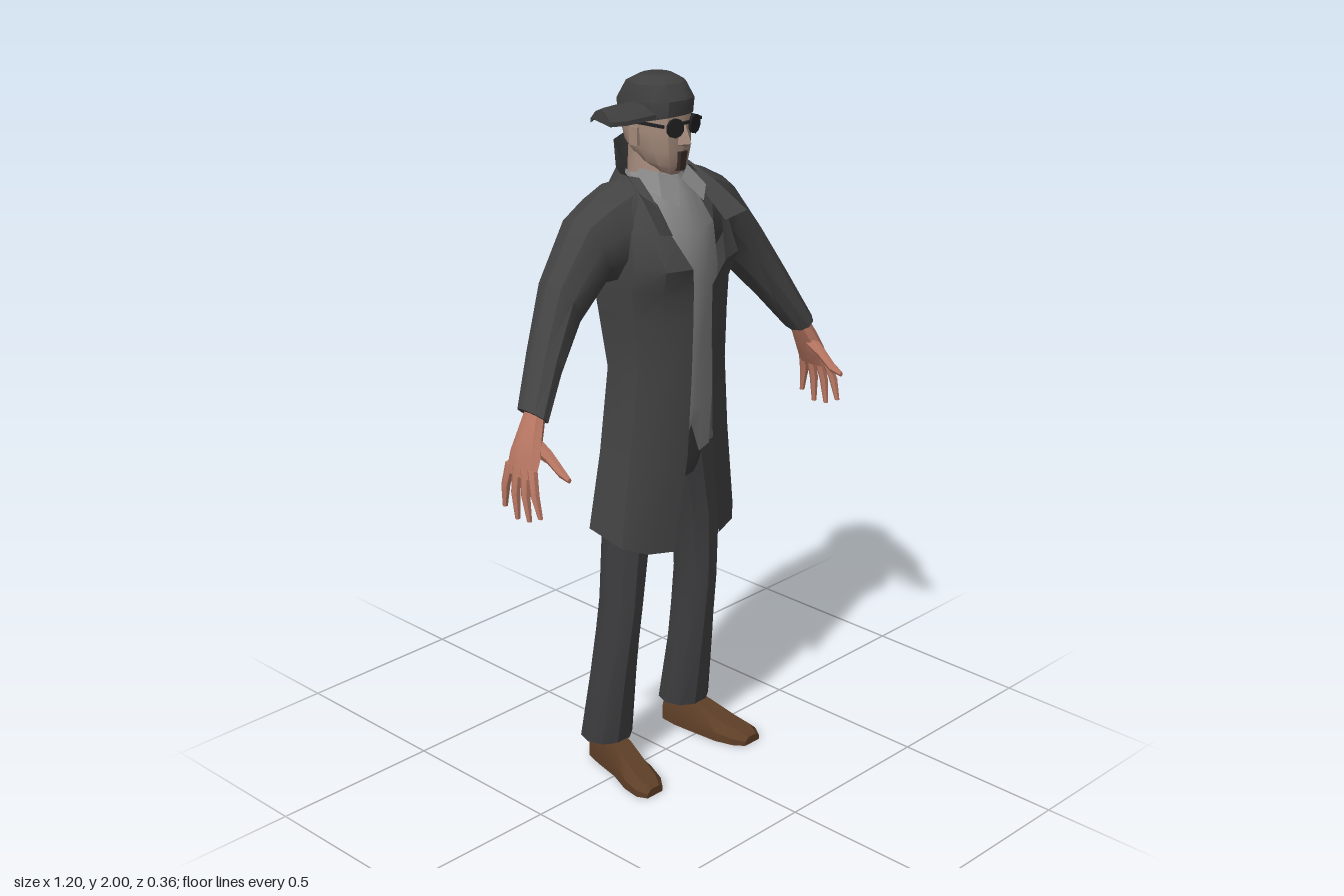
import * as THREE from 'three';
import { toCreasedNormals } from 'three/addons/utils/BufferGeometryUtils.js';
import { ConvexGeometry } from 'three/addons/geometries/ConvexGeometry.js';

const mat = (name, color) => new THREE.MeshStandardMaterial({ name, color, side: THREE.DoubleSide });
const V = (p) => new THREE.Vector3(...p);
const flip = (rings) => rings.map((r) => r.map(([x, y, z]) => [-x, y, z]).reverse());
const lerp = (a, b, t) => a + (b - a) * t;

// Skin a series of cross-sections; closed rings may be capped at both ends
function loft(rings, closed = true, caps = closed, crease = 0.6) {
  const pos = [];
  const tri = (...pts) => pts.forEach((p) => pos.push(...p));
  const n = rings[0].length;
  for (let j = 0; j < rings.length - 1; j++) {
    for (let i = 0; i < (closed ? n : n - 1); i++) {
      const k = (i + 1) % n, a = rings[j], b = rings[j + 1];
      tri(a[i], a[k], b[k]);
      tri(a[i], b[k], b[i]);
    }
  }
  if (caps) {
    const s = rings[0], e = rings[rings.length - 1];
    for (let i = 1; i < n - 1; i++) {
      tri(s[0], s[i + 1], s[i]);
      tri(e[0], e[i], e[i + 1]);
    }
  }
  const g = new THREE.BufferGeometry();
  g.setAttribute('position', new THREE.Float32BufferAttribute(pos, 3));
  return toCreasedNormals(g, crease);
}

// Elliptical rings; each station is [x, y, z, ux, uy, r] with r along axis w
function limb(stations, n = 8, w = [0, 0, 1]) {
  return stations.map(([x, y, z, ux, uy, r]) => Array.from({ length: n }, (_, i) => {
    const a = (i / n) * Math.PI * 2, c = Math.cos(a), s = Math.sin(a) * r;
    return [x + ux * c + w[0] * s, y + uy * c + w[1] * s, z + w[2] * s];
  }));
}

// Level rings; each row is [yFront, yBack, halfWidth, zFront, zBack]
function stack(rows, n = 12) {
  return rows.map(([yf, yb, hw, zf, zb]) => Array.from({ length: n }, (_, i) => {
    const a = (i / n) * Math.PI * 2, s = Math.sin(a), c = Math.cos(a);
    return [
      hw * Math.sign(s) * Math.pow(Math.abs(s), 0.8),
      lerp(yb, yf, (c + 1) / 2),
      lerp(zb, zf, (c + 1) / 2),
    ];
  }));
}

// Complete a half section (front to back, or centre outward) with its mirror image
const mirrorHalf = (half, sharedEnd) => sharedEnd
  ? [...half, ...half.slice(0, -1).reverse().map(([x, y, z]) => [-x, y, z])]
  : [...half.slice(1).reverse().map(([x, y, z]) => [-x, y, z]), ...half];

export function createModel() {
  const model = new THREE.Group();
  model.name = 'man';
  const M = {
    coat: mat('coat charcoal', 0x434343),
    cap: mat('cap charcoal', 0x3f3f3f),
    trousers: mat('trouser grey', 0x3d3d3f),
    shirt: mat('shirt grey', 0x868686),
    face: mat('face skin', 0xa48a7b),
    hand: mat('hand skin', 0xb87763),
    shoe: mat('shoe brown', 0x5e3f27),
    glasses: mat('glasses black', 0x202022),
    beard: mat('beard brown', 0x3a2d26),
  };
  const add = (name, geo, m, parent = model) => {
    const mesh = new THREE.Mesh(geo, m);
    mesh.name = name;
    parent.add(mesh);
    return mesh;
  };
  const pair = (name, rings, m, closed = true) => {
    add('left' + name, loft(rings, closed), m);
    add('right' + name, loft(flip(rings), closed), m);
  };

  // Long open coat: [yFront, yBack, openingX, zFront, sideX, zBack]
  const coatRows = [
    [0.705, 0.77, 0.087, 0.12, 0.225, -0.15],
    [0.98, 0.98, 0.05, 0.13, 0.195, -0.122],
    [1.22, 1.22, 0.04, 0.135, 0.167, -0.112],
    [1.37, 1.37, 0.036, 0.136, 0.178, -0.15],
    [1.45, 1.47, 0.036, 0.137, 0.187, -0.172],
    [1.52, 1.53, 0.062, 0.16, 0.187, -0.177],
    [1.62, 1.62, 0.1, 0.108, 0.175, -0.165],
    [1.7, 1.69, 0.098, 0.045, 0.14, -0.148],
    [1.74, 1.74, 0.09, -0.01, 0.1, -0.135],
  ];
  const coat = coatRows.map(([yf, yb, xi, zf, xs, zb]) => mirrorHalf([
    [xi, yf, zf],
    [lerp(xi, xs, 0.6), lerp(yf, yb, 0.15), zf - 0.025],
    [xs * 0.99, lerp(yf, yb, 0.45), zf * 0.4],
    [xs * 0.97, lerp(yf, yb, 0.75), zb * 0.55],
    [xs * 0.6, lerp(yf, yb, 0.95), zb * 0.94],
    [0, yb, zb],
  ], true));
  add('coatBody', loft(coat, false), M.coat);

  // Turned-up coat collar ending in pointed lapels
  const collarBase = [[0.1, 1.612, 0.122], [0.088, 1.68, 0.055], [0.085, 1.72, -0.04], [0.06, 1.72, -0.125], [0, 1.72, -0.138]];
  const collarEdge = [[0.165, 1.63, 0.14], [0.137, 1.7, 0.05], [0.112, 1.752, -0.04], [0.08, 1.822, -0.115], [0, 1.832, -0.138]];
  add('coatCollar', loft([mirrorHalf(collarBase, true), mirrorHalf(collarEdge, true)], false), M.coat);

  // Sleeves
  pair('Sleeve', limb([
    [0.13, 1.595, -0.055, -0.01, 0.14, 0.11],
    [0.185, 1.583, -0.056, 0.015, 0.122, 0.1],
    [0.245, 1.565, -0.057, 0.036, 0.097, 0.086],
    [0.35, 1.452, -0.045, 0.042, 0.064, 0.07],
    [0.44, 1.325, -0.01, 0.033, 0.043, 0.06],
    [0.518, 1.203, 0.026, 0.027, 0.023, 0.052],
  ], 10), M.coat);

  // Hands: palm, four fingers and thumb
  pair('Palm', limb([
    [0.508, 1.22, 0.028, 0.022, 0.008, 0.03],
    [0.535, 1.165, 0.035, 0.024, 0.008, 0.042],
    [0.56, 1.11, 0.04, 0.022, 0.006, 0.056],
    [0.577, 1.06, 0.04, 0.014, 0, 0.054],
  ]), M.hand);
  const fingers = [[0.082, 0.122, 0.965], [0.055, 0.08, 0.945], [0.026, 0.035, 0.94], [0, -0.012, 0.962]];
  fingers.forEach(([z0, z1, tip], i) => pair('Finger' + (i + 1), limb([
    [0.575, 1.085, z0, 0.014, 0, 0.014],
    [0.588, lerp(1.085, tip, 0.5), lerp(z0, z1, 0.55), 0.013, 0, 0.012],
    [0.587, tip, z1, 0.007, 0, 0.007],
  ], 6), M.hand));
  pair('Thumb', limb([
    [0.54, 1.14, 0.05, 0.016, 0, 0.03],
    [0.535, 1.115, 0.105, 0.015, 0, 0.018],
    [0.533, 1.085, 0.145, 0.013, 0, 0.014],
    [0.535, 1.072, 0.178, 0.006, 0, 0.007],
  ], 6, [0, 1, 0]), M.hand);

  // Shirt front with a split hem: [y, yCentre, z, halfWidth]
  const shirtRows = [
    [0.96, 1.05, 0.095, 0.14], [1.1, 1.1, 0.105, 0.14], [1.3, 1.3, 0.106, 0.135],
    [1.48, 1.48, 0.12, 0.145], [1.6, 1.6, 0.106, 0.14], [1.69, 1.69, 0.06, 0.105], [1.745, 1.735, 0.02, 0.075],
  ];
  add('shirt', loft(shirtRows.map(([y, yc, z, w]) => mirrorHalf([
    [0, yc, z], [w * 0.25, y, z - 0.003], [w * 0.7, y, z - 0.025], [w, y, z - 0.08], [w * 0.8, y, -0.09],
  ], false)), false), M.shirt);
  pair('ShirtCollar', [
    [[0.045, 1.672, 0.095], [0.085, 1.702, 0.065], [0.09, 1.72, -0.02]],
    [[0.006, 1.73, 0.05], [0.055, 1.755, 0.025], [0.072, 1.76, -0.03]],
  ], M.shirt, false);

  // Trousers
  add('trouserHips', loft(stack([
    [0.88, 0.88, 0.1, 0.06, -0.085], [0.95, 0.95, 0.15, 0.08, -0.1], [1.08, 1.08, 0.14, 0.085, -0.095],
  ])), M.trousers);
  pair('TrouserLeg', limb([
    [0.088, 0.97, -0.015, 0.08, 0, 0.09],
    [0.14, 0.72, -0.02, 0.062, 0, 0.076],
    [0.151, 0.52, -0.03, 0.052, 0, 0.073],
    [0.158, 0.3, -0.055, 0.063, 0, 0.07],
    [0.16, 0.09, -0.083, 0.076, 0, 0.073],
  ], 10), M.trousers);

  // Shoes, toes turned out: [z, centreX, halfWidth, height]
  const shoe = [
    [-0.135, 0.152, 0.028, 0.085], [-0.08, 0.158, 0.038, 0.11], [0, 0.17, 0.043, 0.088],
    [0.07, 0.187, 0.054, 0.055], [0.125, 0.2, 0.049, 0.04], [0.155, 0.204, 0.03, 0.024],
  ];
  pair('Shoe', shoe.map(([z, x, w, h]) => [
    [x - w, 0, z], [x + w, 0, z], [x + w, h * 0.5, z], [x + w * 0.55, h, z], [x - w * 0.55, h, z], [x - w, h * 0.5, z],
  ]), M.shoe);

  // Head and neck
  add('neck', loft(stack([[1.68, 1.68, 0.066, 0.03, -0.12], [1.82, 1.82, 0.056, 0.005, -0.115]])), M.face);
  add('head', loft(stack([
    [1.742, 1.77, 0.036, 0.042, -0.06],
    [1.765, 1.785, 0.056, 0.056, -0.09],
    [1.81, 1.82, 0.072, 0.062, -0.125],
    [1.86, 1.86, 0.077, 0.062, -0.136],
    [1.93, 1.93, 0.074, 0.06, -0.135],
  ])), M.face);
  add('nose', new ConvexGeometry([
    [0, 1.888, 0.066], [-0.008, 1.885, 0.055], [0.008, 1.885, 0.055], [0, 1.832, 0.092],
    [-0.016, 1.826, 0.058], [0.016, 1.826, 0.058], [0, 1.822, 0.075],
  ].map(V)), M.face);
  for (const s of [-1, 1]) {
    const ear = add(s > 0 ? 'leftEar' : 'rightEar', new THREE.BoxGeometry(0.012, 0.05, 0.03), M.face);
    ear.position.set(s * 0.077, 1.845, -0.04);
  }
  add('goatee', new ConvexGeometry([
    [-0.016, 1.808, 0.055], [0.016, 1.808, 0.055], [-0.012, 1.808, 0.067], [0.012, 1.808, 0.067],
    [-0.013, 1.752, 0.04], [0.013, 1.752, 0.04], [-0.01, 1.756, 0.06], [0.01, 1.756, 0.06],
  ].map(V)), M.beard);

  // Round dark glasses
  const glasses = new THREE.Group();
  glasses.name = 'glasses';
  model.add(glasses);
  for (const s of [-1, 1]) {
    const lens = add('lens', new THREE.CylinderGeometry(0.026, 0.026, 0.008, 10), M.glasses, glasses);
    lens.rotation.set(Math.PI / 2, 0, -s * 0.25);
    lens.position.set(s * 0.036, 1.876, 0.068);
    const temple = add('temple', new THREE.BoxGeometry(0.006, 0.008, 0.1), M.glasses, glasses);
    temple.position.set(s * 0.076, 1.884, 0.01);
    temple.rotation.y = -s * 0.12;
  }
  add('bridge', new THREE.BoxGeometry(0.03, 0.007, 0.008), M.glasses, glasses).position.set(0, 1.885, 0.07);

  // Cap with its curved peak turned to the right side
  add('capCrown', loft(stack([
    [1.905, 1.855, 0.08, 0.068, -0.147],
    [1.945, 1.925, 0.083, 0.072, -0.15],
    [1.985, 1.975, 0.068, 0.045, -0.12],
    [2.0, 1.997, 0.042, 0.005, -0.08],
  ])), M.cap);
  const peak = [[-0.205, 0.036], [-0.165, 0.056], [-0.06, 0.062]].map(([x, hw]) => {
    const arc = [-1, -0.5, 0, 0.5, 1];
    const at = (s, drop) => [x, 1.938 - 0.028 * s * s - drop, -0.035 + hw * s];
    return [...arc.map((s) => at(s, 0.012)), ...arc.reverse().map((s) => at(s, 0))].reverse();
  });
  add('capPeak', loft(peak), M.cap);

  return model;
}
